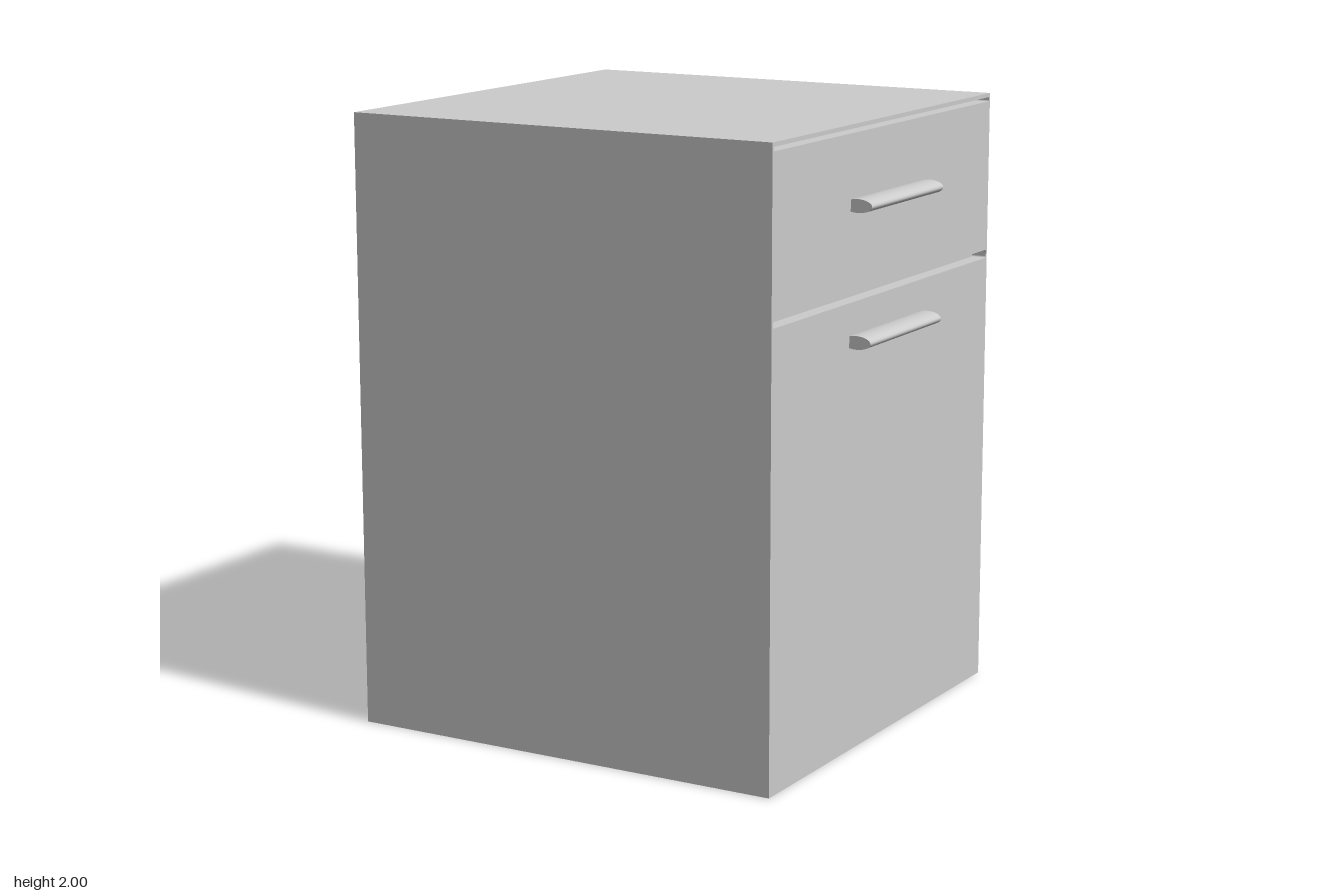
import * as THREE from 'three';

const MAT = new THREE.MeshStandardMaterial({ color: 0xcccccc });
const BACK = -0.785, FRONT = 0.712, HALF = 0.75, HEIGHT = 2, GROOVE_DEPTH = 0.05;

function addMesh(parent, name, geometry) {
  const mesh = new THREE.Mesh(geometry, MAT);
  mesh.name = name;
  parent.add(mesh);
  return mesh;
}

// Long slot with small rounded corners
function slotPath(halfWidth, bottom, top, r) {
  const p = new THREE.Path();
  p.moveTo(-halfWidth + r, bottom);
  p.lineTo(halfWidth - r, bottom);
  p.absarc(halfWidth - r, bottom + r, r, -Math.PI / 2, 0);
  p.absarc(halfWidth - r, top - r, r, 0, Math.PI / 2);
  p.absarc(-halfWidth + r, top - r, r, Math.PI / 2, Math.PI);
  p.absarc(-halfWidth + r, bottom + r, r, Math.PI, Math.PI * 1.5);
  return p;
}

export function createModel() {
  const group = new THREE.Group();
  group.name = 'cabinet';

  // Solid body behind the grooved panel
  const depth = FRONT - GROOVE_DEPTH - BACK;
  const body = addMesh(group, 'cabinetBody', new THREE.BoxGeometry(depth, HEIGHT, HALF * 2));
  body.position.set(BACK + depth / 2, HEIGHT / 2, 0);

  // Panel on the +x side, grooves separate the top, drawer and door
  const panel = new THREE.Shape();
  panel.moveTo(-HALF, 0);
  panel.lineTo(HALF, 0);
  panel.lineTo(HALF, HEIGHT);
  panel.lineTo(-HALF, HEIGHT);
  panel.closePath();
  panel.holes.push(slotPath(0.742, 1.449, 1.476, 0.006), slotPath(0.742, 1.973, 1.987, 0.004));
  const panelGeo = new THREE.ExtrudeGeometry(panel, { depth: GROOVE_DEPTH, bevelEnabled: false, curveSegments: 4 });
  panelGeo.rotateY(Math.PI / 2);
  addMesh(group, 'drawerAndDoorPanel', panelGeo).position.x = FRONT - GROOVE_DEPTH;

  // Oval bar handles, partly sunk into the panel
  for (const [name, y] of [['drawerHandle', 1.752], ['doorHandle', 1.327]]) {
    const bar = new THREE.CylinderGeometry(1, 1, 0.5, 40);
    bar.rotateX(Math.PI / 2);
    bar.scale(0.049, 0.0215, 1);
    addMesh(group, name, bar).position.set(0.736, y, 0);
  }
  return group;
}
